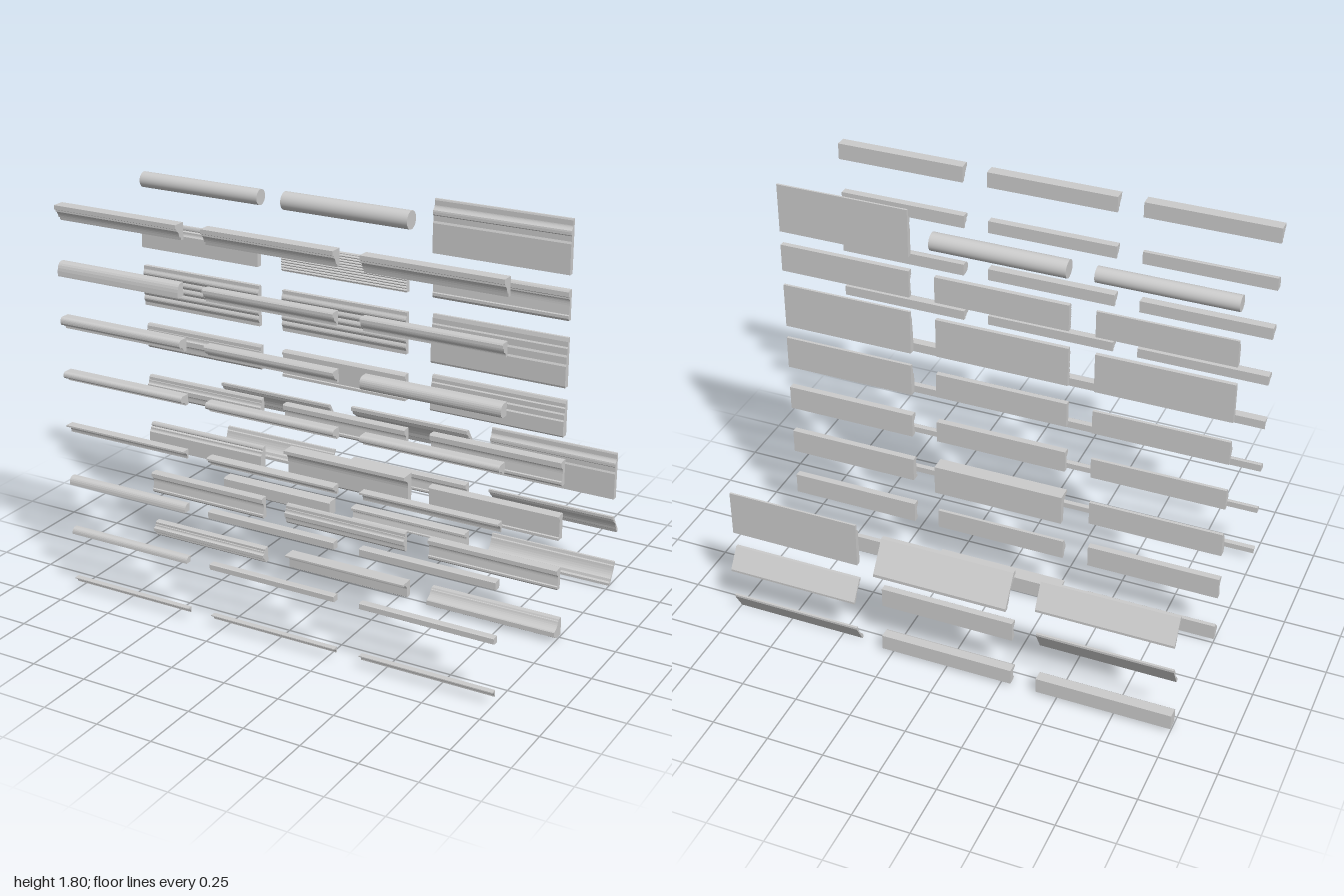
import * as THREE from 'three';

const LENGTH = 0.59, ROW = 0.235, BASE = 0.055;
const COLUMNS = [-0.705, 0, 0.705];
const material = new THREE.MeshStandardMaterial({ color: 0xcccccc, side: THREE.DoubleSide });

// Curve segment from a to b with a control point
function bend(a, c, b, n = 6) {
  const curve = new THREE.QuadraticBezierCurve(
    new THREE.Vector2(...a), new THREE.Vector2(...c), new THREE.Vector2(...b));
  return curve.getPoints(n).map(p => [p.x, p.y]);
}

// Row of rounded ribs between two heights, on a face at the given depth
function ribs(count, top, bottom, depth, rise) {
  const pts = [];
  for (let i = 0; i < count; i++) {
    for (let k = 0; k <= 5; k++) {
      pts.push([depth + rise * Math.sin(Math.PI * k / 5), top + (bottom - top) * (i + k / 5) / count]);
    }
  }
  return pts;
}

// Front outlines from top to bottom: [depth 0..1, height -0.5..0.5]; the back is flat
const FACES = {
  squareStrip: [[0.85, 0.5], [1, 0.4], [1, -0.4], [0.85, -0.5]],
  quarterRound: [[0.3, 0.5], ...bend([0.3, 0.5], [1, 0.5], [1, -0.4]), [1, -0.5]],
  halfRound: [...bend([0.4, 0.5], [1, 0.5], [1, 0]), ...bend([1, 0], [1, -0.5], [0.4, -0.5])],
  coveStrip: [[1, 0.5], [1, 0.32], ...bend([0.9, 0.32], [0.25, 0.2], [0.2, -0.4]), [0.2, -0.5]],
  noseStrip: [[0.6, 0.5], ...bend([0.75, 0.5], [1.05, 0.45], [1, 0.05]),
    ...bend([0.9, -0.1], [0.5, -0.1], [0.5, -0.3]), [0.35, -0.3], [0.35, -0.5]],
  capStrip: [[1, 0.5], [1, 0.25], [0.85, 0.2], ...bend([0.85, 0.1], [0.6, 0.05], [0.5, -0.3]), [0.35, -0.3], [0.3, -0.5]],
  ogeeStrip: [[0.9, 0.5], [1, 0.4], [1, 0.2], [0.8, 0.15], ...bend([0.8, 0.15], [0.75, -0.1], [0.6, -0.15]),
    ...bend([0.6, -0.15], [0.3, -0.2], [0.3, -0.4]), [0.3, -0.5]],
  casing: [[0.85, 0.5], [1, 0.45], [1, 0.3], [0.8, 0.27], ...bend([0.8, 0.22], [0.5, 0.2], [0.55, 0]),
    [0.65, -0.3], [0.8, -0.33], [0.8, -0.42], [0.6, -0.5]],
  chairRail: [[0.4, 0.5], [0.55, 0.42], [0.55, 0.28], ...bend([0.7, 0.28], [0.7, 0.12], [0.9, 0.12]),
    ...bend([1, 0.1], [1.0, 0], [1, -0.1]), ...bend([0.9, -0.12], [0.7, -0.12], [0.7, -0.28]),
    [0.55, -0.28], [0.55, -0.42], [0.4, -0.5]],
  baseboard: [[0.4, 0.5], ...bend([0.45, 0.48], [0.6, 0.4], [0.5, 0.35]), [0.75, 0.31],
    ...bend([0.75, 0.28], [0.75, 0.2], [0.95, 0.17]), [1, 0.15], [1, -0.5]],
  steppedBase: [[0.4, 0.5], [0.55, 0.42], [0.55, 0.32], [0.7, 0.29], [0.7, 0.16], [0.85, 0.12], [0.85, -0.02],
    [1, -0.06], [1, -0.46], [0.9, -0.5]],
  reededPanel: [[0.75, 0.5], ...ribs(10, 0.47, -0.47, 0.75, 0.25), [0.75, -0.5]],
  widePanel: [[0.7, 0.5], [0.7, 0.42], ...ribs(5, 0.4, -0.4, 0.75, 0.25), [0.7, -0.42], [0.7, -0.5]],
  flatPanel: [[0.8, 0.5], [1, 0.44], [1, 0.36], [0.8, 0.34], [0.8, -0.38], [1, -0.4], [1, -0.5]],
  shelfCap: [[1, 0.5], [1, 0.4], [0.75, 0.35], ...bend([0.75, 0.33], [0.45, 0.3], [0.42, 0.05]), [0.42, -0.45], [0.35, -0.5]],
  slopedCap: [[0.35, 0.5], [0.4, 0.42], ...bend([0.45, 0.4], [0.55, 0.1], [0.95, 0.0]), [1, -0.05], [1, -0.3], [0.6, -0.5]],
  tallBase: [[0.35, 0.5], [0.45, 0.47], ...bend([0.45, 0.38], [0.5, 0.34], [0.95, 0.3]), [1, 0.27],
    [1, 0.22], [0.8, 0.2], [0.8, 0.1], [0.95, 0.06], [0.95, -0.5]],
};

// Sloping band used for the crowns, and its reverse for the skirts
const CROWN = [[1, 0.5], [0.82, 0.5], [0, -0.4], [0, -0.5], [0.18, -0.5], [0.24, -0.36],
  ...bend([0.32, -0.32], [0.42, 0.08], [0.8, 0.2]), [0.86, 0.32], [1, 0.38]];
const SKIRT = CROWN.map(([d, y]) => [d, -y]);

function extrudeProfile(points, h, d) {
  const shape = new THREE.Shape(points.map(([u, v]) => new THREE.Vector2((u - 1) * d, v * h)));
  const g = new THREE.ExtrudeGeometry(shape, { depth: LENGTH, bevelEnabled: false });
  g.rotateY(-Math.PI / 2);
  return g.translate(LENGTH / 2, 0, 0);
}

function makePiece(kind, h, d) {
  if (kind === 'roundRod') {
    return new THREE.CylinderGeometry(h / 2, h / 2, LENGTH, 32).rotateZ(Math.PI / 2).translate(0, 0, -h / 2);
  }
  if (kind === 'crown') return extrudeProfile(CROWN, h, d);
  if (kind === 'skirt') return extrudeProfile(SKIRT, h, d);
  return extrudeProfile([[0, 0.5], ...FACES[kind], [0, -0.5]], h, d);
}

// Each layer lists its rows from the bottom up; each row is three [kind, height, depth]
const LAYERS = [
  { name: 'smallTrims', z: 0.643, rows: [
    [['coveStrip', 0.025, 0.025], ['coveStrip', 0.025, 0.025], ['coveStrip', 0.028, 0.026]],
    [['quarterRound', 0.027, 0.03], ['squareStrip', 0.027, 0.03], ['squareStrip', 0.028, 0.03]],
    [['quarterRound', 0.034, 0.034], ['squareStrip', 0.034, 0.034], ['squareStrip', 0.036, 0.034]],
    [['coveStrip', 0.04, 0.04], ['ogeeStrip', 0.04, 0.04], ['coveStrip', 0.044, 0.04]],
    [['noseStrip', 0.045, 0.05], ['noseStrip', 0.045, 0.045], ['noseStrip', 0.045, 0.05]],
    [['noseStrip', 0.055, 0.05], ['ogeeStrip', 0.055, 0.045], ['halfRound', 0.055, 0.05]],
    [['quarterRound', 0.058, 0.04], ['ogeeStrip', 0.058, 0.04], ['ogeeStrip', 0.06, 0.04]],
    [['capStrip', 0.07, 0.053], ['capStrip', 0.072, 0.053], ['capStrip', 0.075, 0.05]],
  ] },
  { name: 'wallMouldings', z: 0.054, rows: [
    [['chairRail', 0.07, 0.045], ['shelfCap', 0.075, 0.065], ['slopedCap', 0.08, 0.067]],
    [['casing', 0.1, 0.035], ['chairRail', 0.09, 0.035], ['casing', 0.095, 0.036]],
    [['baseboard', 0.11, 0.036], ['shelfCap', 0.137, 0.067], ['flatPanel', 0.11, 0.036]],
    [['chairRail', 0.095, 0.034], ['casing', 0.1, 0.034], ['casing', 0.11, 0.036]],
    [['chairRail', 0.11, 0.035], ['flatPanel', 0.115, 0.03], ['steppedBase', 0.15, 0.033]],
    [['widePanel', 0.18, 0.026], ['widePanel', 0.18, 0.026], ['steppedBase', 0.205, 0.028]],
    [['baseboard', 0.12, 0.028], ['reededPanel', 0.12, 0.028], ['casing', 0.125, 0.028]],
    [['roundRod', 0.068, 0.068], ['roundRod', 0.078, 0.078], ['tallBase', 0.22, 0.026]],
  ] },
  { name: 'crownMouldings', z: -0.536, rows: [
    [['squareStrip', 0.07, 0.055], ['casing', 0.07, 0.05], ['skirt', 0.095, 0.06]],
    [['skirt', 0.1, 0.06], ['casing', 0.09, 0.035], ['crown', 0.095, 0.07]],
    [['crown', 0.11, 0.075], ['crown', 0.137, 0.107], ['tallBase', 0.21, 0.025]],
  ] },
];

export function createModel() {
  const model = new THREE.Group();
  for (const layer of LAYERS) {
    const group = new THREE.Group();
    group.name = layer.name;
    layer.rows.forEach((row, r) => row.forEach(([kind, h, d], c) => {
      const mesh = new THREE.Mesh(makePiece(kind, h, d), material);
      mesh.name = kind;
      mesh.position.set(COLUMNS[c], BASE + r * ROW, layer.z);
      group.add(mesh);
    }));
    model.add(group);
  }
  // Centre the set and stand it on the ground
  const box = new THREE.Box3().setFromObject(model);
  const mid = box.getCenter(new THREE.Vector3());
  for (const g of model.children) g.position.set(-mid.x, -box.min.y, -mid.z);
  return model;
}
